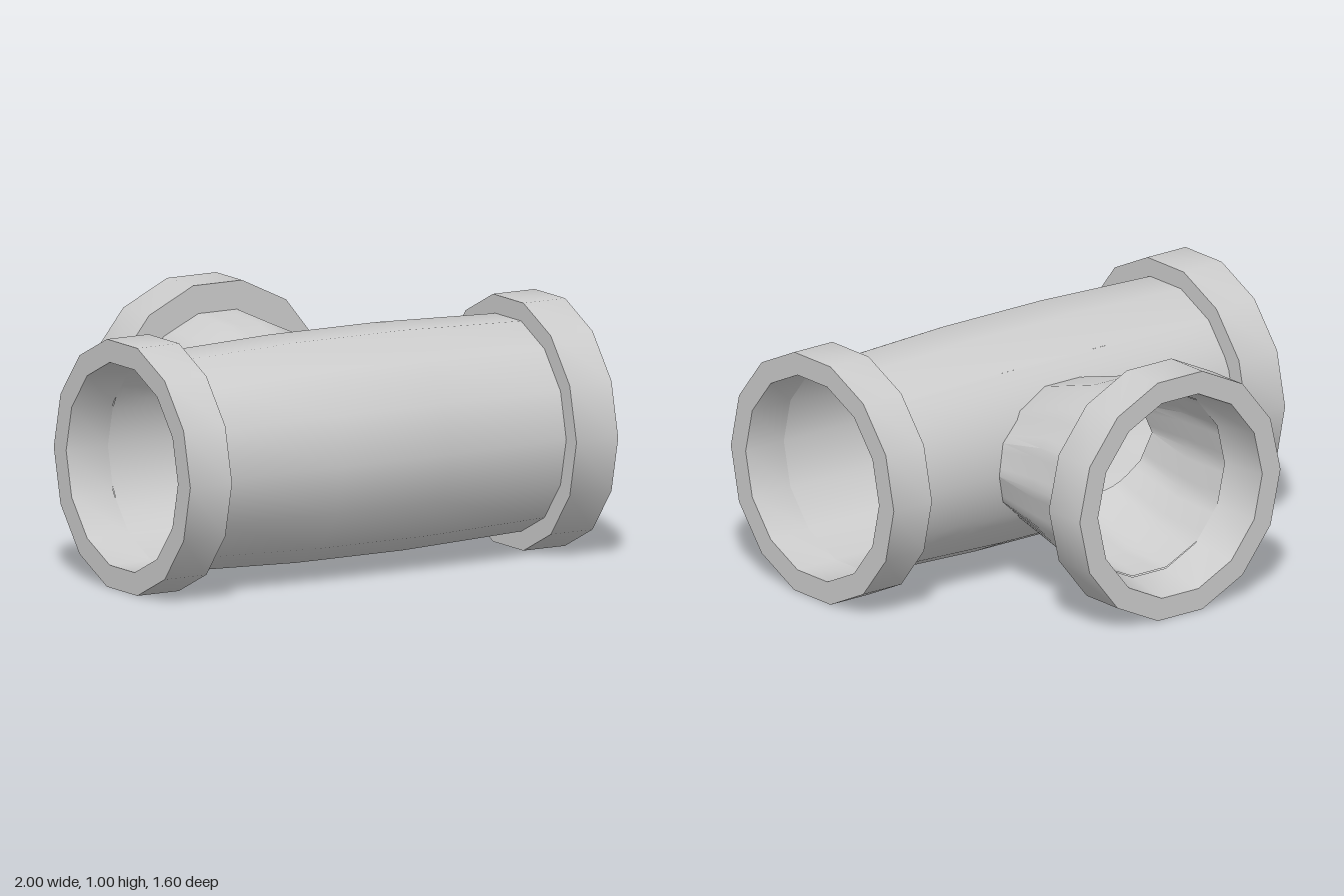
import * as THREE from 'three';
import { toCreasedNormals } from 'three/addons/utils/BufferGeometryUtils.js';

const SIDES = 14, STEP = (2 * Math.PI) / SIDES, SUB = 4;
const BORE = 0.42, RIM = 0.513, END = 0.805, PATCH = 2;
const material = new THREE.MeshStandardMaterial({ color: 0xcccccc, side: THREE.DoubleSide });

// Skin a list of cross-sections that all have the same number of points
function loft(rings) {
  const n = rings[0].length, index = [];
  for (let i = 0; i < rings.length - 1; i++) {
    for (let j = 0; j < n - 1; j++) {
      const a = i * n + j, d = a + n;
      index.push(a, a + 1, d + 1, a, d + 1, d);
    }
  }
  const geometry = new THREE.BufferGeometry().setFromPoints(rings.flat());
  geometry.setIndex(index);
  return geometry;
}

// Polygon section across the x axis, from corner k0 to corner k1
function section(x, r, k0 = 0, k1 = SIDES) {
  const points = [];
  for (let k = k0; k <= k1; k++) {
    points.push(new THREE.Vector3(x, r * Math.sin(k * STEP), -r * Math.cos(k * STEP)));
  }
  return points;
}

// Polygon outline with straight edges divided into SUB pieces
function outline(rx, ry) {
  const points = [];
  for (let i = 0; i <= SIDES * SUB; i++) {
    const k = Math.floor(i / SUB) * STEP, t = (i % SUB) / SUB;
    points.push(new THREE.Vector2(
      rx * THREE.MathUtils.lerp(Math.cos(k), Math.cos(k + STEP), t),
      ry * THREE.MathUtils.lerp(Math.sin(k), Math.sin(k + STEP), t)));
  }
  return points;
}

// The main pipe swells slightly towards its middle
const outerRadius = (x) => 0.436 + 0.02 * Math.min(1, (END - Math.abs(x)) / 0.555);
const boreRadius = () => BORE;

// Point on the faceted back of the pipe; v is height divided by radius
function onPipe(x, v, radius) {
  const k = Math.min(PATCH - 1, Math.floor(Math.asin(Math.min(1, Math.abs(v))) / STEP));
  const v0 = Math.sin(k * STEP), v1 = Math.sin((k + 1) * STEP);
  const w = THREE.MathUtils.lerp(Math.cos(k * STEP), Math.cos((k + 1) * STEP), (Math.abs(v) - v0) / (v1 - v0));
  const r = radius(x);
  return new THREE.Vector3(x, r * v, -r * w);
}

// Back panel of the pipe: rings spreading from the branch hole to a rectangle
function holePanel(hole, radius) {
  const rings = [], vMax = Math.sin(PATCH * STEP);
  for (let s = 0; s <= 8; s++) {
    rings.push(hole.map((p, i) => {
      const a = (2 * Math.PI * i) / (SIDES * SUB), c = Math.cos(a), d = Math.sin(a);
      const m = Math.max(Math.abs(c), Math.abs(d));
      return onPipe(
        THREE.MathUtils.lerp(p.x, (END * c) / m, s / 8),
        THREE.MathUtils.lerp(p.y, (vMax * d) / m, s / 8), radius);
    }));
  }
  return rings;
}

// Smooth panel normals, pointing away from (1) or towards (-1) the pipe axis
function panelGeometry(rings, sign) {
  const geometry = loft(sign > 0 ? rings : [...rings].reverse());
  const p = geometry.attributes.position, normals = [];
  for (let i = 0; i < p.count; i++) {
    const l = sign / Math.hypot(p.getY(i), p.getZ(i));
    normals.push(0, p.getY(i) * l, p.getZ(i) * l);
  }
  geometry.setAttribute('normal', new THREE.Float32BufferAttribute(normals, 3));
  return geometry;
}

// Collar at one end of a pipe
function flange(side, pipeRadius, backBore) {
  const profile = [[END, backBore], [END, pipeRadius], [END, RIM], [1, RIM], [1, BORE], [END, backBore]];
  if (side < 0) profile.reverse();
  return loft(profile.map(([x, r]) => section(side * x, r)));
}

export function createModel() {
  const model = new THREE.Group();
  model.name = 'pipeTee';
  const add = (name, geometry) => {
    const mesh = new THREE.Mesh(geometry, material);
    mesh.name = name;
    mesh.position.set(0, 0.5, 0.284);
    model.add(mesh);
  };
  const crease = (geometry) => toCreasedNormals(geometry, 0.6);

  // Main pipe, open along the back where the panels fit
  const shell = [-END, -0.25, 0.25, END].map((x) => section(x, outerRadius(x), PATCH, SIDES - PATCH));
  const bore = [END, -END].map((x) => section(x, BORE, PATCH, SIDES - PATCH));
  add('mainPipeWall', crease(loft(shell)));
  add('mainPipeBore', crease(loft(bore)));

  // Back panels with the branch hole
  const outerPanel = holePanel(outline(0.41, 0.63), outerRadius);
  const innerPanel = holePanel(outline(0.395, 0.645), boreRadius);
  add('mainPipeBackPanel', panelGeometry(outerPanel, 1));
  add('mainPipeBackBore', panelGeometry(innerPanel, -1));

  // Branch pipe: round at its collar, flattened where it meets the main pipe
  const ring = (rx, ry, z) => outline(rx, ry).map((p) => new THREE.Vector3(p.x, p.y, z));
  add('branchWall', crease(loft([ring(0.405, 0.395, -0.889), ring(0.405, 0.38, -0.654), outerPanel[0]])));
  add('branchBore', crease(loft([innerPanel[0], ring(0.39, 0.365, -0.654), ring(0.39, 0.38, -0.889)])));

  // Collars
  add('leftFlange', crease(flange(1, 0.436, BORE)));
  add('rightFlange', crease(flange(-1, 0.436, BORE)));
  add('branchFlange', crease(flange(1, 0.4, 0.385).rotateY(Math.PI / 2).translate(0, 0, -0.084)));
  return model;
}
